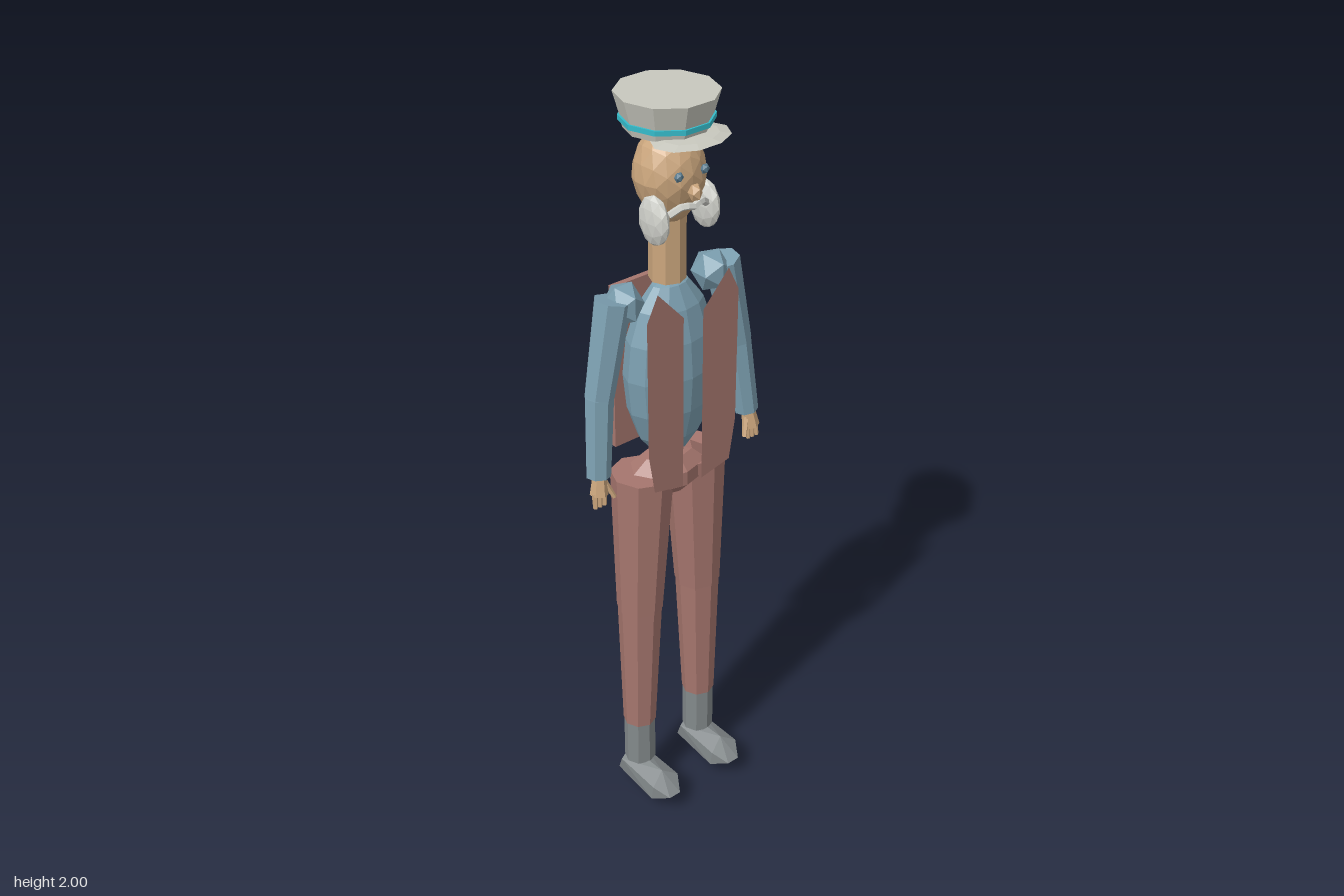
import * as THREE from 'three';
import { ConvexGeometry } from 'three/addons/geometries/ConvexGeometry.js';

const V = (x, y, z) => new THREE.Vector3(x, y, z);

function material(name, color, side = THREE.FrontSide) {
  const m = new THREE.MeshStandardMaterial({ color, flatShading: true, side });
  m.name = name;
  return m;
}

export function createModel() {
  const model = new THREE.Group();
  model.name = 'cappedMan';

  const shirt = material('blueShirt', 0x7c9fb0);
  const cloth = material('brownCloth', 0xa6766e, THREE.DoubleSide);
  const boot = material('greyBoot', 0x83898b);
  const skin = material('skin', 0xcba67d);
  const hatCloth = material('paleHat', 0xc8c8be);
  const hair = material('whiteHair', 0xcfd0ca);
  const cyan = material('cyanBand', 0x35bccb);
  const eyeBlue = material('eyeBlue', 0x5c7d90);

  function add(name, geometry, mat, parent = model) {
    const mesh = new THREE.Mesh(geometry, mat);
    mesh.name = name;
    parent.add(mesh);
    return mesh;
  }

  // Faceted ellipsoid
  function blob(name, mat, pos, size, geometry = new THREE.IcosahedronGeometry(1, 1), parent = model) {
    const mesh = add(name, geometry, mat, parent);
    mesh.position.set(...pos);
    mesh.scale.set(...size);
    return mesh;
  }

  // Tapered limb between two points
  function limb(name, mat, a, b, ra, rb, sides, parent = model) {
    const mesh = add(name, new THREE.CylinderGeometry(ra, rb, a.distanceTo(b), sides), mat, parent);
    mesh.position.copy(a).lerp(b, 0.5);
    mesh.quaternion.setFromUnitVectors(V(0, 1, 0), a.clone().sub(b).normalize());
    return mesh;
  }

  // Torso, hips and neck
  blob('torso', shirt, [0, 1.305, -0.011], [0.13, 0.247, 0.085], new THREE.SphereGeometry(1, 12, 8));
  blob('hips', cloth, [0, 1.01, -0.017], [0.12, 0.062, 0.077], new THREE.SphereGeometry(1, 8, 5));
  limb('neck', skin, V(0, 1.73, -0.02), V(0, 1.54, -0.02), 0.045, 0.045, 8);

  // Back plate of the waistcoat
  add('waistcoatBack', new THREE.BoxGeometry(0.206, 0.445, 0.015), cloth).position.set(0, 1.292, -0.106);

  // Head, an egg narrowing to the chin
  const headShape = new THREE.IcosahedronGeometry(1, 2);
  const hp = headShape.attributes.position;
  for (let i = 0; i < hp.count; i++) {
    const y = hp.getY(i);
    const k = y < 0 ? 1 + 0.22 * y : 1;
    hp.setX(i, hp.getX(i) * k);
    hp.setZ(i, hp.getZ(i) * k);
  }
  blob('head', skin, [0, 1.802, -0.012], [0.088, 0.122, 0.084], headShape);
  blob('nose', skin, [0, 1.787, 0.077], [0.016, 0.023, 0.019], new THREE.IcosahedronGeometry(1, 0));

  // Hat: crown, band and visor, ten-sided with corners on the x axis
  function hatRing(name, mat, rTop, rBottom, y0, y1) {
    const geo = new THREE.CylinderGeometry(rTop, rBottom, y1 - y0, 10);
    geo.rotateY(Math.PI / 2);
    add(name, geo, mat).position.set(0, (y0 + y1) / 2, -0.02);
  }
  hatRing('hatCrown', hatCloth, 0.122, 0.106, 1.944, 2);
  hatRing('hatBand', cyan, 0.111, 0.111, 1.933, 1.945);
  hatRing('hatRim', hatCloth, 0.105, 0.1, 1.915, 1.934);
  const visor = blob('hatVisor', hatCloth, [0, 1.914, 0.062], [0.104, 0.009, 0.069],
    new THREE.SphereGeometry(1, 10, 4));
  visor.rotation.x = 0.03;

  // Moustache
  const moustache = new THREE.CatmullRomCurve3([
    V(-0.055, 1.738, 0.052), V(-0.025, 1.757, 0.068), V(0, 1.752, 0.074),
    V(0.025, 1.757, 0.068), V(0.055, 1.738, 0.052),
  ]);
  add('moustache', new THREE.TubeGeometry(moustache, 8, 0.009, 5), hair);

  // Paired parts, +x is the model's left
  for (const s of [-1, 1]) {
    const side = s > 0 ? 'left' : 'right';

    blob(side + 'Eye', eyeBlue, [s * 0.038, 1.83, 0.066], [0.012, 0.013, 0.01], new THREE.IcosahedronGeometry(1, 0));
    blob(side + 'Whiskers', hair, [s * 0.075, 1.722, 0.024], [0.022, 0.062, 0.05]);

    // Waistcoat front panel, a flat sheet
    const panel = new THREE.Shape([
      [0.03, 1.01], [0.12, 1.03], [0.138, 1.14], [0.14, 1.5], [0.108, 1.565], [0.03, 1.48],
    ].map(([x, y]) => new THREE.Vector2(s * x, y)));
    add(side + 'WaistcoatPanel', new THREE.ShapeGeometry(panel), cloth).position.z = 0.075;

    // Leg
    const leg = new THREE.Group();
    leg.name = side + 'Leg';
    model.add(leg);
    limb('thigh', cloth, V(s * 0.085, 1.03, -0.018), V(s * 0.098, 0.62, -0.017), 0.08, 0.06, 8, leg);
    limb('shin', cloth, V(s * 0.098, 0.62, -0.017), V(s * 0.104, 0.24, -0.016), 0.058, 0.044, 8, leg);
    limb('bootShaft', boot, V(s * 0.104, 0.24, -0.016), V(s * 0.104, 0.105, -0.016), 0.042, 0.042, 8, leg);
    const half = [
      [0.018, 0.06, 0.135], [0.043, 0.085, 0.095], [0.045, 0.042, 0.09],
      [0.04, 0.09, -0.045], [0.034, 0.045, -0.065],
    ];
    const shoe = half.flatMap(([x, y, z]) => [V(x, y, z), V(-x, y, z)]);
    shoe.push(V(0, 0.112, 0.08), V(0, 0.105, -0.058), V(0, 0, 0.035));
    add('shoe', new ConvexGeometry(shoe), boot, leg).position.x = s * 0.106;

    // Arm
    const arm = new THREE.Group();
    arm.name = side + 'Arm';
    model.add(arm);
    const elbow = V(s * 0.217, 1.3, -0.012), wrist = V(s * 0.239, 1.095, 0.006);
    blob('shoulder', shirt, [s * 0.134, 1.516, -0.018], [0.048, 0.056, 0.053], new THREE.IcosahedronGeometry(1, 0), arm);
    limb('upperArm', shirt, V(s * 0.166, 1.535, -0.018), elbow, 0.046, 0.037, 7, arm);
    limb('forearm', shirt, elbow, wrist, 0.036, 0.031, 7, arm);

    // Hand with three fingers and a thumb
    limb('palm', skin, V(s * 0.24, 1.1, 0.012), V(s * 0.246, 1.05, 0.017), 0.017, 0.023, 6, arm);
    for (let i = 0; i < 3; i++) {
      const x = 0.232 + i * 0.014;
      limb('finger', skin, V(s * x, 1.058, 0.018), V(s * (x + 0.002), 1.018, 0.022), 0.008, 0.006, 5, arm);
    }
    limb('thumb', skin, V(s * 0.23, 1.08, 0.016), V(s * 0.211, 1.035, 0.032), 0.009, 0.006, 5, arm);
  }

  return model;
}
